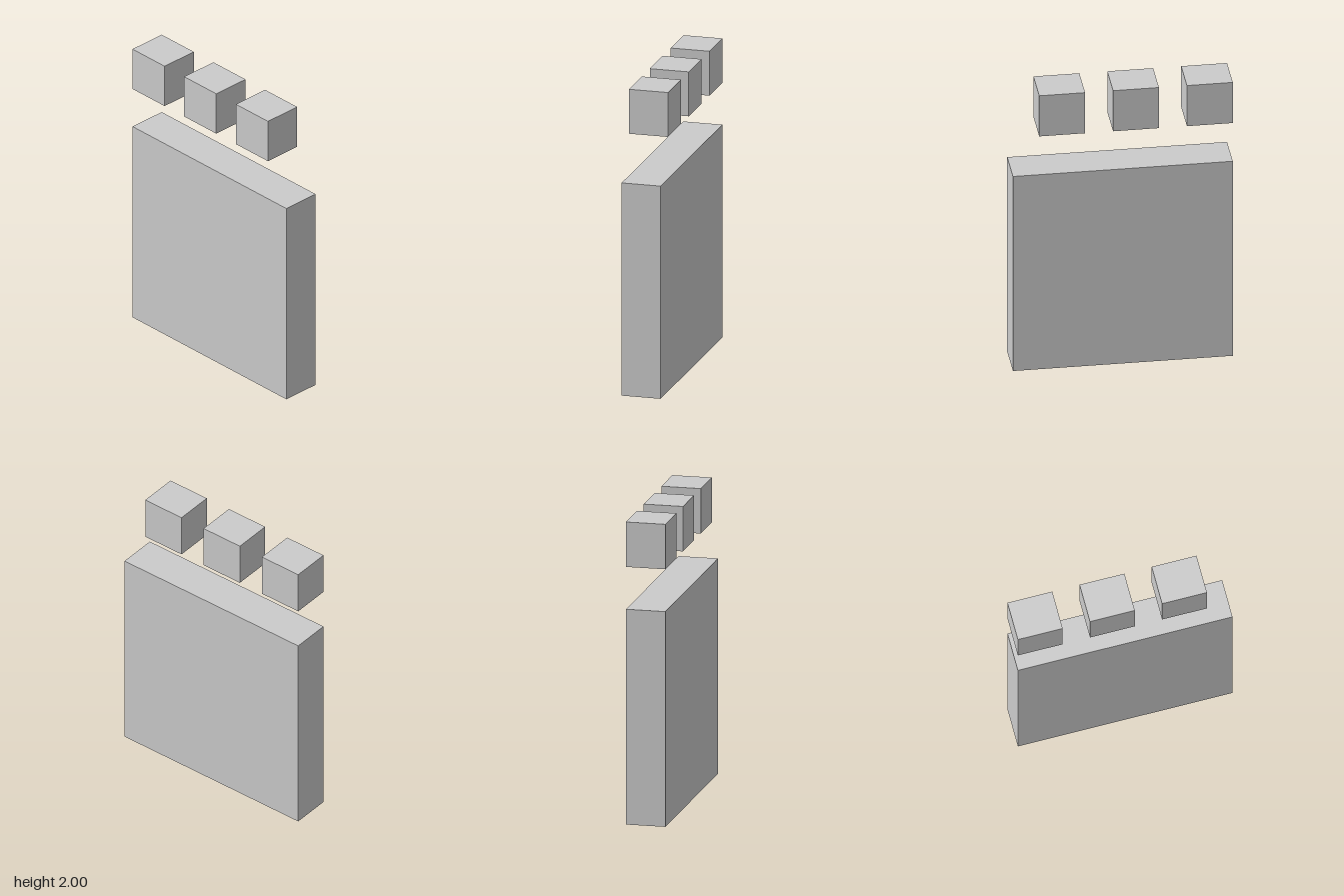
import * as THREE from 'three';

export function createModel() {
  const group = new THREE.Group();
  const material = new THREE.MeshStandardMaterial({ color: 0xcccccc, flatShading: true });
  const depth = 0.26;

  // Box placed by its centre x and the height of its underside
  function addBlock(name, width, height, x, bottom) {
    const mesh = new THREE.Mesh(new THREE.BoxGeometry(width, height, depth), material);
    mesh.name = name;
    mesh.position.set(x, bottom + height / 2, 0);
    group.add(mesh);
  }

  // Large square slab
  const slab = 1.423;
  addBlock('slab', slab, slab, 0, 0);

  // Row of three floating blocks, starting flush with the slab's right edge
  const size = 0.297;
  const spacing = 0.478;
  for (let i = 0; i < 3; i++) {
    addBlock(`block${i + 1}`, size, size, -slab / 2 + size / 2 + i * spacing, 2 - size);
  }

  return group;
}
